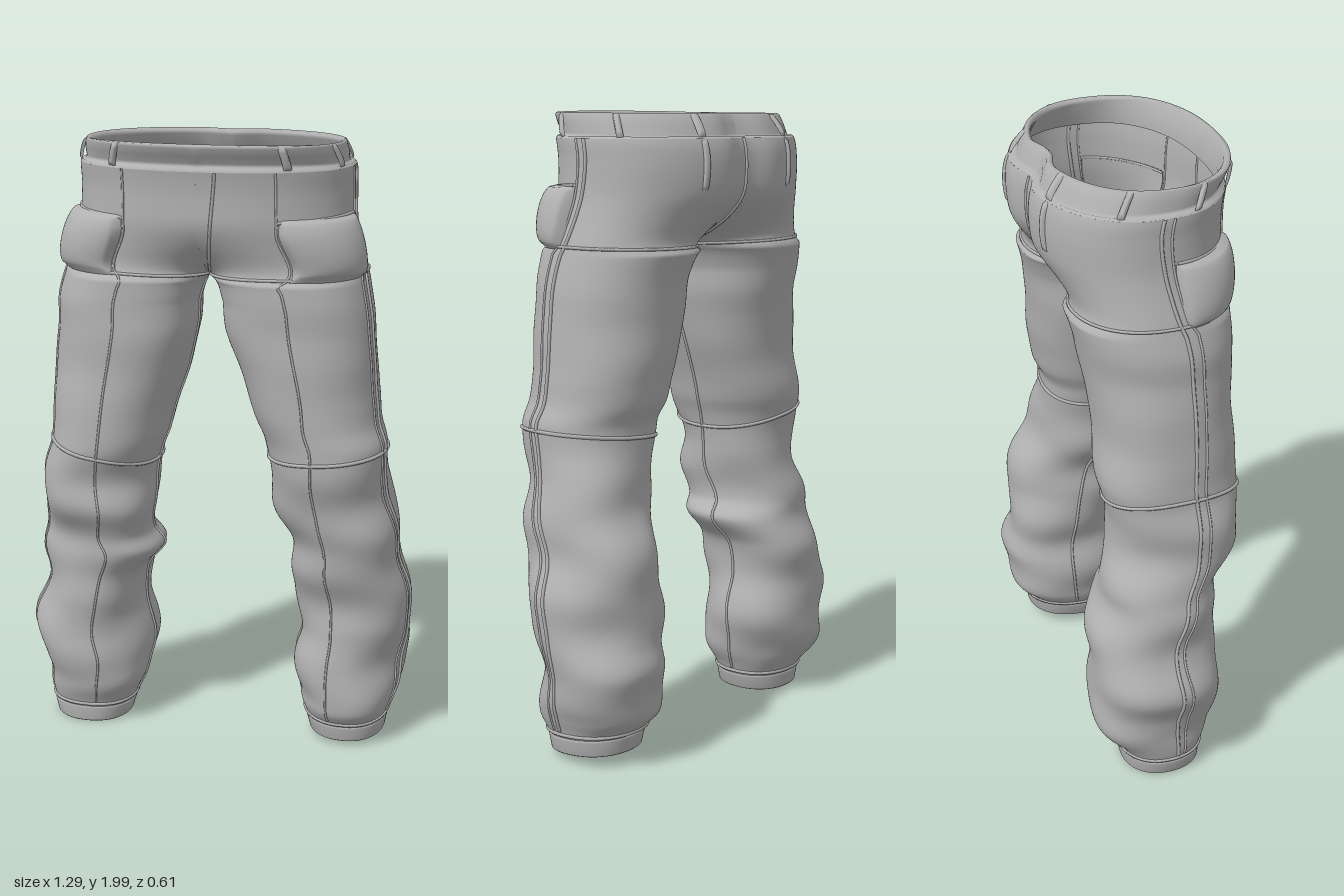
import * as THREE from 'three';
import { mergeVertices } from 'three/addons/utils/BufferGeometryUtils.js';

// Rows: height, outer x, inner x, front z, back z
const HIPS = [[1.6, .475, .04, .25, -.25], [1.68, .452, 0, .265, -.285], [1.75, .437, 0, .275, -.308],
  [1.85, .432, 0, .278, -.315], [1.92, .43, 0, .288, -.3], [2, .4, 0, .312, -.245]];
const RIGHT = [[0, .56, .315, .12, -.13], [.07, .575, .295, .125, -.14], [.15, .59, .265, .16, -.2],
  [.25, .6, .24, .175, -.24], [.35, .632, .25, .18, -.24], [.45, .61, .25, .16, -.23],
  [.55, .59, .23, .165, -.22], [.64, .58, .185, .19, -.2], [.7, .565, .225, .2, -.19],
  [.8, .55, .2, .24, -.16], [.9, .555, .2, .24, -.15], [1, .54, .175, .25, -.17],
  [1.06, .54, .15, .25, -.18], [1.2, .52, .11, .25, -.18], [1.4, .503, .05, .25, -.2],
  [1.5, .5, .042, .25, -.22], ...HIPS];
const LEFT = [[.03, .565, .32, .09, -.19], [.09, .575, .305, .1, -.2], [.15, .6, .275, .13, -.25],
  [.3, .622, .265, .13, -.282], [.4, .628, .275, .12, -.26], [.6, .628, .25, .15, -.245],
  [.7, .615, .25, .17, -.22], [.8, .595, .22, .2, -.19], [.9, .565, .2, .22, -.17],
  [1.05, .56, .17, .24, -.15], [1.12, .535, .14, .24, -.18], [1.2, .53, .115, .24, -.19],
  [1.4, .507, .055, .25, -.21], [1.5, .497, .042, .25, -.22], ...HIPS];
const CROTCH = 1.578;

const { lerp, clamp, smoothstep } = THREE.MathUtils;

// Smooth interpolation of a row table at height y
function sample(rows, y) {
  let i = 0;
  while (i < rows.length - 2 && y > rows[i + 1][0]) i++;
  const a = rows[i], b = rows[i + 1], p = rows[Math.max(i - 1, 0)], q = rows[Math.min(i + 2, rows.length - 1)];
  const h = b[0] - a[0], t = clamp((y - a[0]) / h, 0, 1), t2 = t * t, t3 = t2 * t;
  return [1, 2, 3, 4].map(k => {
    const ma = (b[k] - p[k]) / (b[0] - p[0]) * h, mb = (q[k] - a[k]) / (q[0] - a[0]) * h;
    return (2 * t3 - 3 * t2 + 1) * a[k] + (t3 - 2 * t2 + t) * ma + (3 * t2 - 2 * t3) * b[k] + (t3 - t2) * mb;
  });
}
const round = (v, n) => Math.sign(v) * Math.abs(v) ** (2 / n);
const legAngle = s => Math.PI * (2 * s - .5);

// Point on one half of the cloth: in the leg s 0..1 is a full turn from the inner side past the
// front, above the crotch it opens into half of the hip oval, from centre front to centre back
function cloth(side, s, y) {
  const [o, inner, f, b] = sample(side > 0 ? LEFT : RIGHT, y);
  const i = inner * Math.sqrt(clamp((CROTCH - y) / .08, 0, 1));
  const zc = (f + b) / 2, d = (f - b) / 2, phi = legAngle(s);
  const w = Math.sqrt(1 - (1 - clamp((y - CROTCH) / .2, 0, 1)) ** 2);
  // soft folds grow below the knee and fade at the cuff
  const amp = (.002 + .005 * (1 - smoothstep(y, .75, 1.2))) * smoothstep(y, .08, .2) * (1 - smoothstep(y, 1.4, 1.57));
  const k = side > 0 ? 0 : 1.7;
  const fold = amp * (Math.sin(12 * y + 2 * phi + k) + Math.sin(21 * y - 2 * phi + 2 * k)
    + .8 * Math.sin(8 * y + 3 * phi - k) + .5 * Math.sin(34 * y + phi + 3 * k));
  const lx = (o + i) / 2 + ((o - i) / 2 + fold) * round(Math.sin(phi), 2.25);
  const lz = zc + (d + fold) * round(Math.cos(phi), 2.25)
    + .05 * Math.max(0, -Math.sin(phi)) ** 2 * smoothstep(y, 1.2, 1.55);
  const hx = o * round(Math.sin(Math.PI * s), 2.3);
  const hz = zc + d * round(Math.cos(Math.PI * s), 2.3) + .032 * Math.exp(-(((1 - s) / .045) ** 2));
  const z = lerp(lz, hz, w), tilt = side > 0 ? .1 * (1 - smoothstep(y, .05, .4)) : 0;
  return new THREE.Vector3(side * lerp(lx, hx, w), y - tilt * (z + .05), z);
}

// The same point pushed out along the surface by d
function off(side, s, y, d) {
  const e = .006;
  const du = cloth(side, s + e, y).sub(cloth(side, s - e, y));
  const dv = cloth(side, s, y + e).sub(cloth(side, s, y - e));
  return cloth(side, s, y).addScaledVector(du.cross(dv).normalize(), side * d);
}

// Grid surface from a function of (u, v), welded smooth
function grid(side, fn, nu, nv) {
  const pos = [], idx = [], n = nu + 1;
  for (let j = 0; j <= nv; j++) for (let i = 0; i <= nu; i++) pos.push(...fn(i / nu, j / nv).toArray());
  for (let j = 0; j < nv; j++) for (let i = 0; i < nu; i++) {
    const a = j * n + i, b = a + 1, c = a + n, d = c + 1;
    idx.push(...(side > 0 ? [a, b, d, a, d, c] : [a, d, b, a, c, d]));
  }
  let g = new THREE.BufferGeometry();
  g.setAttribute('position', new THREE.Float32BufferAttribute(pos, 3));
  g.setIndex(idx);
  g = mergeVertices(g, 1e-5);
  g.computeVertexNormals();
  return g;
}

export function createModel() {
  const model = new THREE.Group();
  model.name = 'trousers';
  const fabric = new THREE.MeshStandardMaterial({ color: 0xb2b2b2, side: THREE.DoubleSide });
  fabric.name = 'grey fabric';

  for (const side of [1, -1]) {
    const half = new THREE.Group();
    half.name = side > 0 ? 'leftHalf' : 'rightHalf';
    model.add(half);
    const add = (name, geo) => {
      const m = new THREE.Mesh(geo, fabric);
      m.name = name;
      half.add(m);
    };
    // raised stitching along a path of [s, y]
    const seam = (name, path, n = 60, r = .005, closed = false) => {
      const pts = [];
      for (let i = 0; i < n + (closed ? 0 : 1); i++) pts.push(off(side, ...path(i / n), .001));
      add(name, new THREE.TubeGeometry(new THREE.CatmullRomCurve3(pts, closed), n * 2, r, 6, closed));
    };
    // padded patch lying on the cloth between two edges s0(y) and s1(y)
    const patch = (name, s0, s1, y0, y1, h, pow, nu = 24, nv = 24) => add(name, grid(side, (u, v) => {
      const puff = (Math.sin(Math.PI * u) * Math.sin(Math.PI * v) + 1e-9) ** pow, y = lerp(y0, y1, v);
      return off(side, lerp(s0(y), s1(y), u), y, -.004 + h * puff);
    }, nu, nv));
    // band with a profile of [y, offset]
    const band = (name, profile, n) => add(name, grid(side, (u, v) =>
      off(side, u, ...profile[Math.round(v * (profile.length - 1))]), n, profile.length - 1));

    // Leg and hip cloth
    const y0 = side > 0 ? .08 : .06;
    add('legAndHip', grid(side, (u, v) => cloth(side, u, lerp(y0, 1.915, v)), 112, 190));

    // Cuff with folded hem
    const c = side > 0 ? .035 : .008;
    band('cuff', [[c + .06, -.02], [c + .005, -.02], [c, -.014], [c, -.002], [c + .005, .003],
      [c + .05, .004], [c + .056, .001], [c + .058, -.01]], 80);
    seam('cuffSeam', t => [t, c + .068], 60, .006, true);

    // Waistband set in from the hip edge and leaning inward
    band('waistband', [[1.915, 0], [1.923, -.004], [1.926, -.016], [1.935, -.017], [1.96, -.008], [1.985, -.002],
      [1.993, -.005], [1.992, -.018], [1.985, -.024], [1.94, -.03], [1.9, -.024]], 60);

    // Long seams
    const upTo = (t, top) => lerp(c + .08, top, t);
    const frontS = y => lerp(lerp(.215, .25, smoothstep(y, .6, 1.3)), .165, smoothstep(y, 1.56, 1.74));
    const sideS = y => .478 + .022 * smoothstep(y, 1.5, 1.9);
    seam('frontSeam', t => [frontS(upTo(t, 1.915)), upTo(t, 1.915)], 110, .004);
    seam('sideSeam', t => [sideS(upTo(t, 1.915)), upTo(t, 1.915)], 110, .006);
    seam('sideSeamDouble', t => [sideS(upTo(t, 1.915)) - .025, upTo(t, 1.915)], 110, .004);
    seam('innerLegSeam', t => [0, upTo(t, 1.56)], 90, .005);

    // Cross seams at knee and hip
    const [ky, kr] = side > 0 ? [1.02, .02] : [.995, .04];
    seam('kneeSeam', t => [t, ky + kr * Math.sin(legAngle(t))], 90, .006, true);
    seam('hipSeam', t => [t, 1.582 + .012 * Math.sin(Math.PI * t)], 80);

    // Cargo pocket and its opening
    patch('pocket', y => frontS(y) + .005, () => .465, 1.585, 1.775, .06, .3);
    seam('pocketOpening', t => [lerp(.165, .46, t), 1.765 + .012 * t], 30);

    // Belt loops and back darts
    patch('backDart', () => .855, () => .875, 1.76, 1.915, .013, .2, 6, 16);
    for (const s of [.2, .4, .62, .865])
      patch('beltLoop', () => s - .012, () => s + .012, 1.92, 1.99, .01, .2, 6, 10);

    // Centre seams of front fly and seat
    if (side > 0) {
      seam('flySeam', t => [.012 + .02 * t, lerp(1.6, 1.915, t)], 40);
      seam('seatSeam', t => [1, lerp(1.585, 1.915, t)], 40);
    }
  }
  return model;
}
